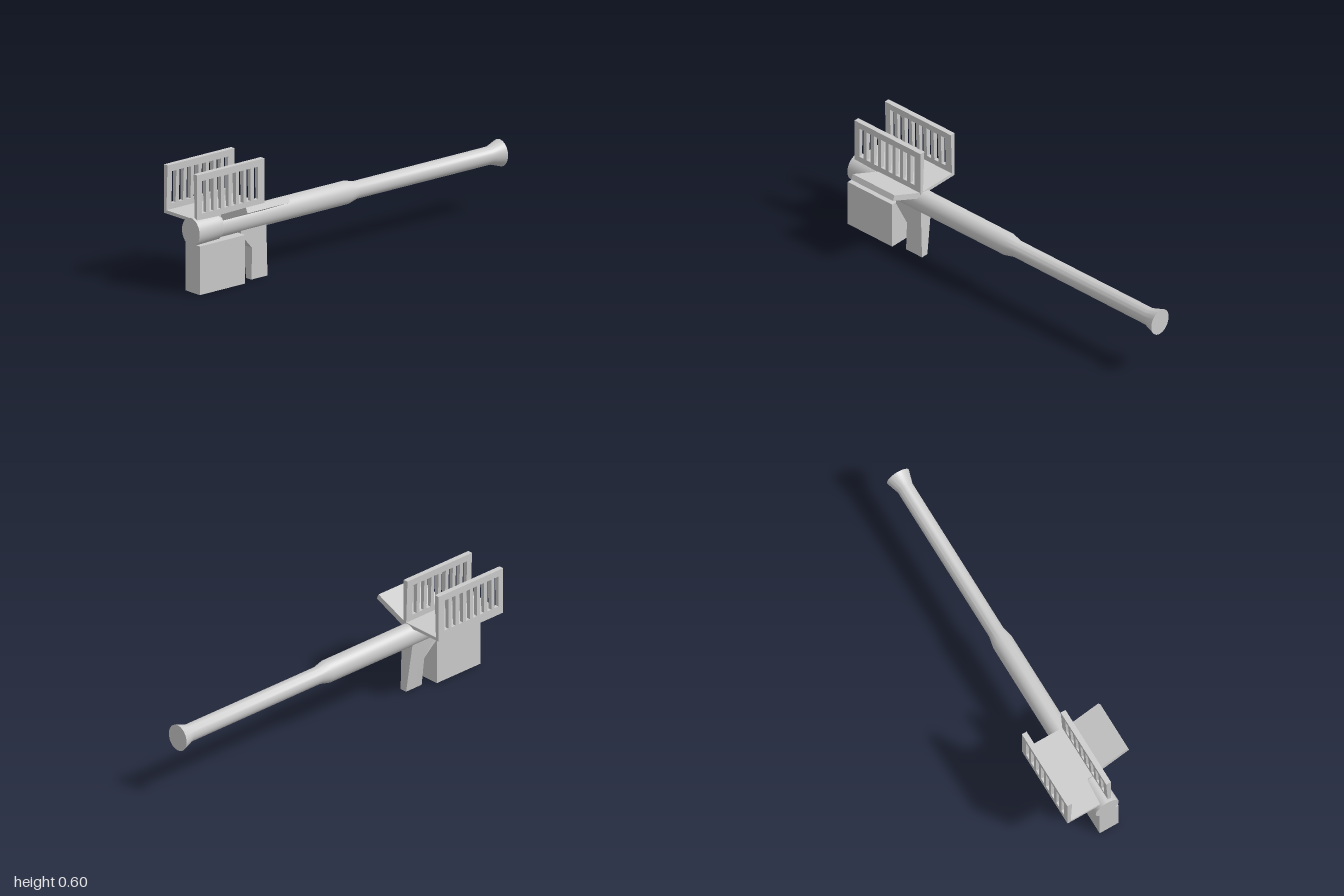
import * as THREE from 'three';
import { toCreasedNormals } from 'three/addons/utils/BufferGeometryUtils.js';

const material = new THREE.MeshStandardMaterial({ color: 0xcccccc });

function part(name, geometry) {
  const mesh = new THREE.Mesh(geometry, material);
  mesh.name = name;
  return mesh;
}

function outline(points) {
  return new THREE.Shape(points.map(([a, b]) => new THREE.Vector2(a, b)));
}

// Extrudes a (z, y) shape across x; xLow and xHigh give each side's x at height y.
function sidePanel(shape, xLow, xHigh) {
  const geometry = new THREE.ExtrudeGeometry(shape, { depth: 1, bevelEnabled: false });
  geometry.rotateY(-Math.PI / 2);
  const p = geometry.attributes.position;
  for (let i = 0; i < p.count; i++) {
    p.setX(i, p.getX(i) < -0.5 ? xLow(p.getY(i)) : xHigh(p.getY(i)));
  }
  return toCreasedNormals(geometry, 0.1);
}

// Side wall outline with a row of upright slots.
function slottedWall() {
  const shape = outline([[0.55, 0.355], [0.985, 0.355], [0.985, 0.6], [0.55, 0.6]]);
  for (let i = 0; i < 8; i++) {
    const z = 0.604 + i * 0.048, w = 0.0135;
    shape.holes.push(outline([[z - w, 0.4], [z - w, 0.565], [z + w, 0.565], [z + w, 0.4]]));
  }
  return shape;
}

export function createModel() {
  const model = new THREE.Group();
  model.name = 'shoulderLauncher';

  // Long tube: flared rear end, narrow pipe, wider body, front collar
  const profile = [
    [0, -1], [0.069, -1], [0.046, -0.93], [0.045, -0.06], [0.059, 0],
    [0.06, 0.835], [0.067, 0.845], [0.072, 0.985], [0.072, 1], [0, 1],
  ].map(([r, z]) => new THREE.Vector2(r, z));
  const tube = new THREE.LatheGeometry(profile, 32);
  tube.rotateX(Math.PI / 2);
  tube.scale(0.91, 1, 1);
  tube.translate(-0.005, 0.307, 0);
  model.add(part('tube', toCreasedNormals(tube, 0.5)));

  // Slotted bracket: two walls that thicken towards the top, and a floor
  const bracket = new THREE.Group();
  bracket.name = 'slottedBracket';
  const rise = (y) => (y - 0.37) / 0.23;
  bracket.add(part('outerWall', sidePanel(slottedWall(), () => -0.222, (y) => -0.203 + 0.008 * rise(y))));
  bracket.add(part('innerWall', sidePanel(slottedWall(), (y) => 0.007 - 0.009 * rise(y), () => 0.025)));
  const floor = new THREE.BoxGeometry(0.23, 0.017, 0.435);
  floor.translate(-0.105, 0.3615, 0.7675);
  bracket.add(part('bracketFloor', floor));
  model.add(bracket);

  // Sloping plate on the other side
  const wing = new THREE.ExtrudeGeometry(
    outline([[0.02, 0.334], [0.22, 0.42], [0.208, 0.447], [0.015, 0.365]]),
    { depth: 0.275, bevelEnabled: false });
  wing.translate(0, 0, 0.555);
  model.add(part('slopingPlate', wing));

  // Box under the front of the tube
  const box = new THREE.BoxGeometry(0.107, 0.248, 0.293);
  box.translate(0.0065, 0.124, 0.8515);
  model.add(part('lowerBox', box));

  // Hand grip, narrowing downwards on its right side
  const grip = outline([[0.64, 0], [0.634, 0.16], [0.706, 0.24], [0.706, 0.28], [0.543, 0.28], [0.535, 0]]);
  model.add(part('handGrip', sidePanel(grip, (y) => -0.008 - 0.156 * Math.min(y, 0.25), () => 0.031)));

  return model;
}
